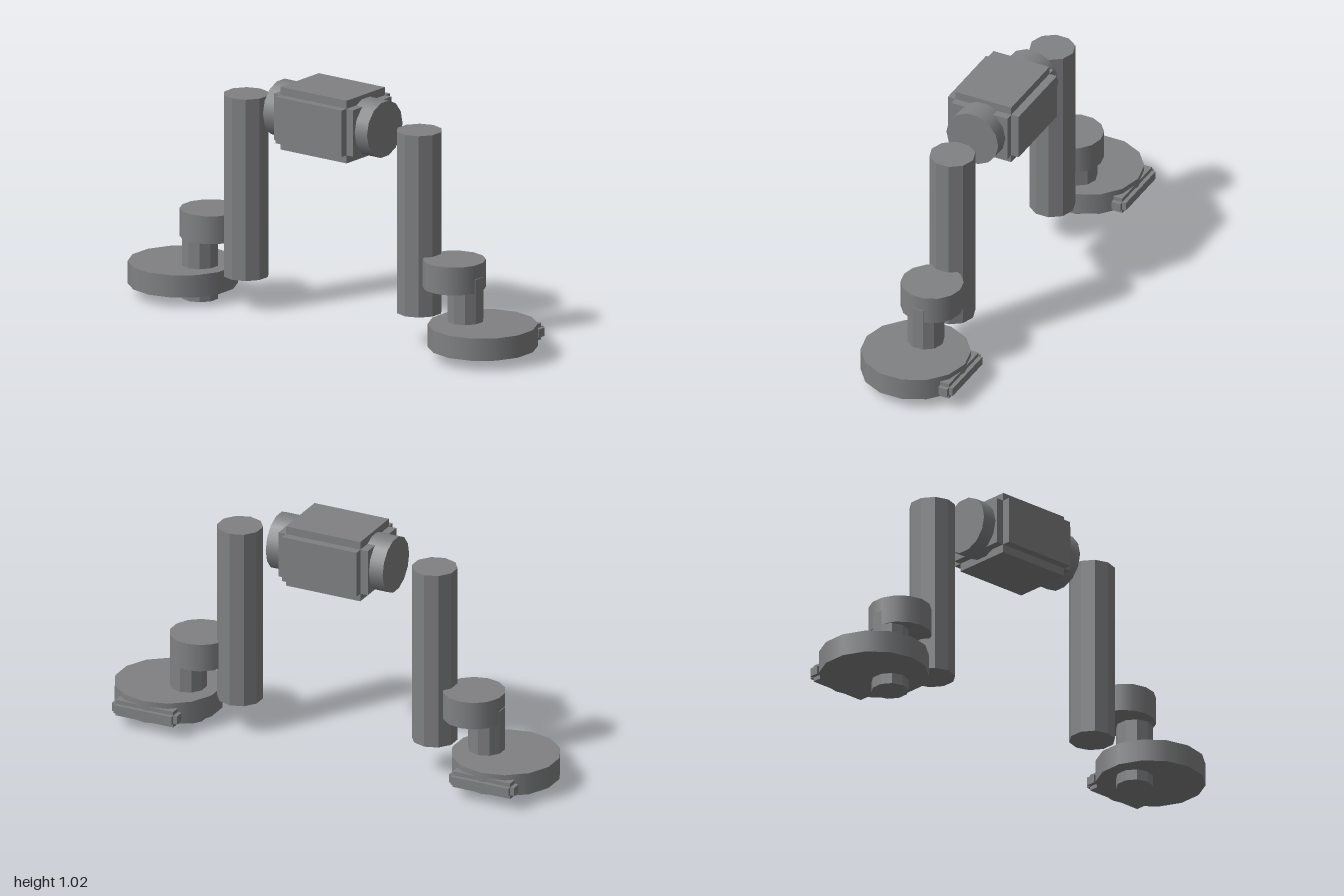
import * as THREE from 'three';

const smooth = new THREE.MeshStandardMaterial({ color: 0x808183 });
const faceted = new THREE.MeshStandardMaterial({ color: 0x808183, flatShading: true });
const Z = 0.007; // common centre line of the machine

// Upright cylinder between two heights
function column(name, x, y0, y1, radius, sides) {
  const geometry = new THREE.CylinderGeometry(radius, radius, y1 - y0, sides);
  const mesh = new THREE.Mesh(geometry, sides > 12 ? smooth : faceted);
  mesh.name = name;
  mesh.position.set(x, (y0 + y1) / 2, Z);
  return mesh;
}

// Box with stepped edges: three crossing boxes, each full length along one axis
function steppedBox(name, size, step) {
  const group = new THREE.Group();
  group.name = name;
  for (let axis = 0; axis < 3; axis++) {
    const dims = size.map((s, i) => (i === axis ? s : s - 2 * step));
    const mesh = new THREE.Mesh(new THREE.BoxGeometry(...dims), faceted);
    mesh.name = name + 'Slab' + 'XYZ'[axis];
    group.add(mesh);
  }
  return group;
}

export function createModel() {
  const model = new THREE.Group();
  model.name = 'walker';

  // Central body
  const body = steppedBox('body', [0.412, 0.268, 0.328], 0.0345);
  body.position.set(0, 0.885, Z);
  model.add(body);

  for (const side of [1, -1]) {
    const prefix = side > 0 ? 'left' : 'right';

    // Hip drum on the end of the body
    const hip = new THREE.Mesh(new THREE.CylinderGeometry(0.12, 0.12, 0.12, 14), smooth);
    hip.name = prefix + 'Hip';
    hip.rotation.z = Math.PI / 2;
    hip.position.set(side * 0.21, 0.885, Z);
    model.add(hip);

    // Leg post, ankle drum, axle and foot disc
    const leg = new THREE.Group();
    leg.name = prefix + 'Leg';
    leg.add(
      column('legPost', side * 0.449, 0.137, 0.913, 0.0955, 10),
      column('ankleDrum', side * 0.631, 0.273, 0.392, 0.13, 14),
      column('axle', side * 0.688, 0, 0.332, 0.077, 10),
      column('footDisc', side * 0.778, 0.046, 0.141, 0.2275, 14),
    );

    // Stepped bar on the back of the foot
    const bar = steppedBox('heelBar', [0.3, 0.07, 0.075], 0.017);
    bar.position.set(side * 0.778, 0.083, -0.195);
    leg.add(bar);
    model.add(leg);
  }
  return model;
}
